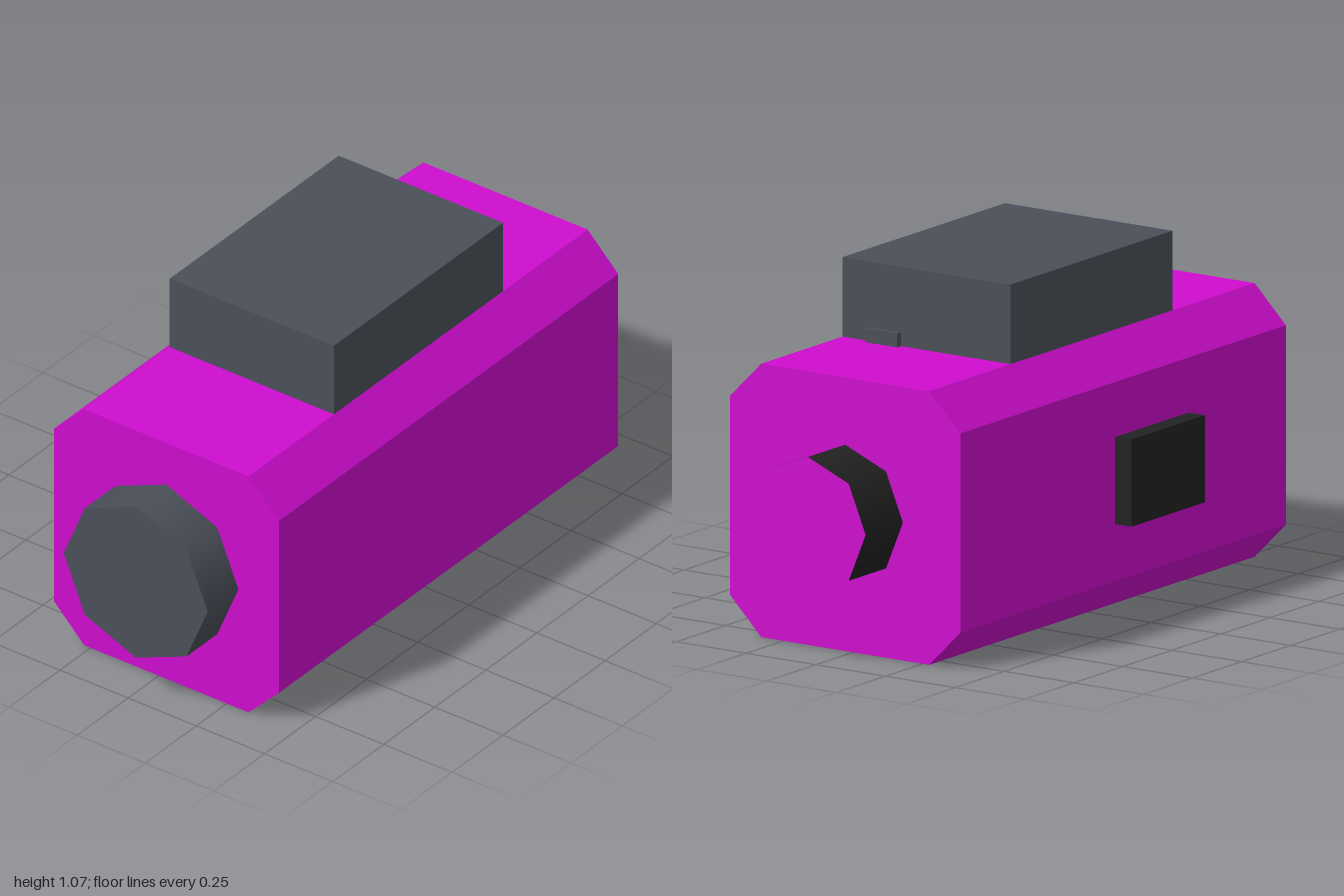
import * as THREE from 'three';

export function createModel() {
  const model = new THREE.Group();
  const magenta = new THREE.MeshStandardMaterial({ color: 0xcf0dcf });
  const slate = new THREE.MeshStandardMaterial({ color: 0x4b5059 });
  const black = new THREE.MeshStandardMaterial({ color: 0x222222 });
  magenta.name = 'magenta';
  slate.name = 'slate grey';
  black.name = 'black';

  const add = (name, geometry, material) => {
    const mesh = new THREE.Mesh(geometry, material);
    mesh.name = name;
    model.add(mesh);
  };

  // Box given by its two opposite corners
  const block = (name, material, [x0, y0, z0], [x1, y1, z1]) => {
    const g = new THREE.BoxGeometry(x1 - x0, y1 - y0, z1 - z0);
    g.translate((x0 + x1) / 2, (y0 + y1) / 2, (z0 + z1) / 2);
    add(name, g, material);
  };

  // Eight-sided barrel along z, with a corner pointing up
  const cx = 0.028, cy = 0.416;
  const barrel = (name, material, radius, z0, z1, open) => {
    const g = new THREE.CylinderGeometry(radius, radius, z1 - z0, 8, 1, open);
    g.rotateX(Math.PI / 2).translate(cx, cy, (z0 + z1) / 2);
    add(name, g, material);
  };

  // Main housing: a chamfered square section run along z
  const h = 0.413, c = 0.301;
  const section = new THREE.Shape(
    [[-c, -h], [c, -h], [h, -c], [h, c], [c, h], [-c, h], [-h, c], [-h, -c]]
      .map(([x, y]) => new THREE.Vector2(x + cx, y + h))
  );
  const housing = new THREE.ExtrudeGeometry(section, { depth: 1.66, bevelEnabled: false });
  housing.translate(0, 0, -0.81);
  add('housing', housing, magenta);

  // Solid front barrel and open rear sleeve
  barrel('frontBarrel', slate, 0.264, 0.85, 1, false);
  barrel('rearSleeve', black, 0.207, -1, -0.81, true);

  // Top unit with its small rear catch, and the side pad
  block('topUnit', slate, [-0.273, 0.826, -0.395], [0.329, 1.066, 0.432]);
  block('rearCatch', slate, [0.12, 0.826, -0.415], [0.235, 0.868, -0.395]);
  block('sidePad', black, [-0.443, 0.285, -0.02], [-0.385, 0.548, 0.355]);

  return model;
}
